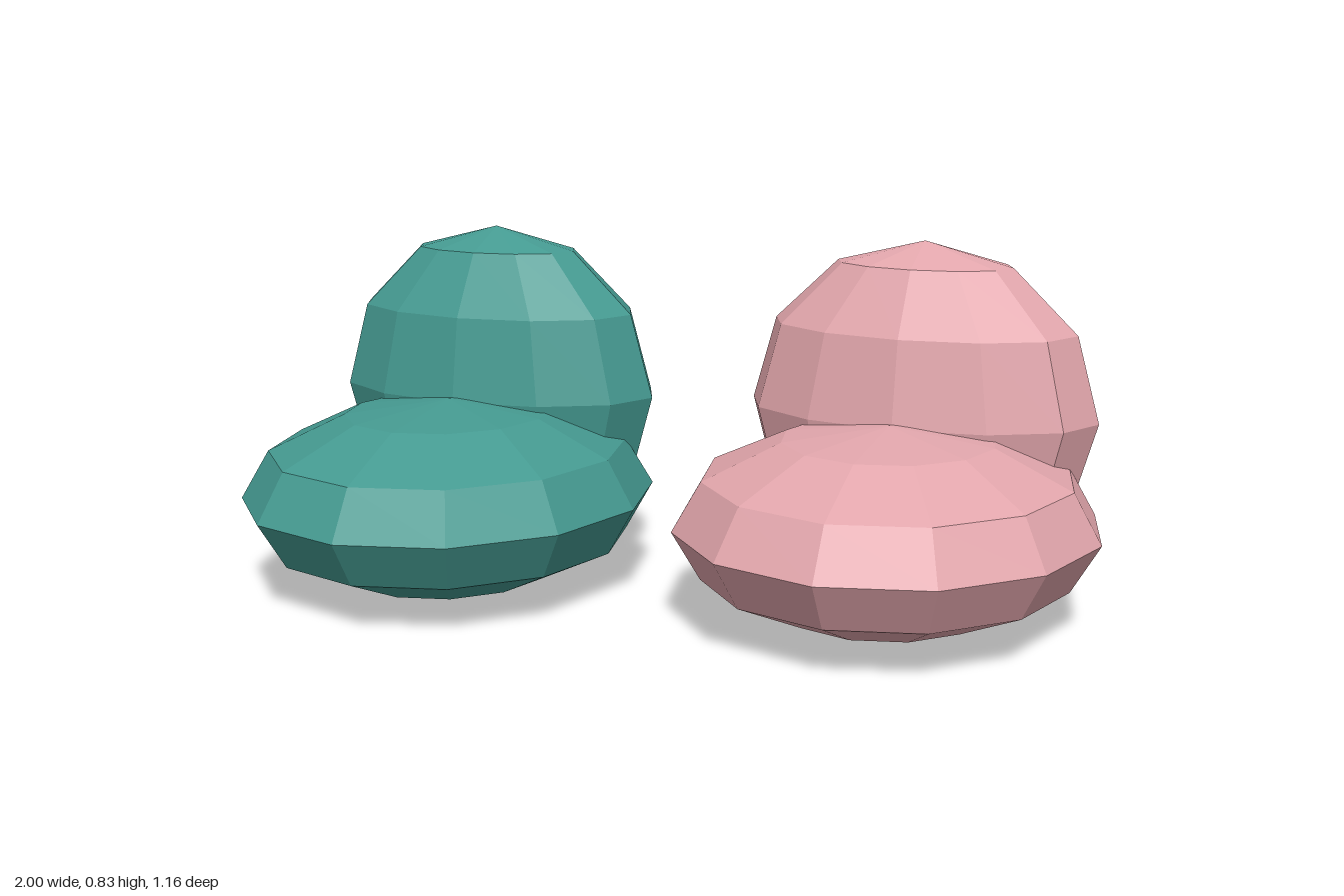
import * as THREE from 'three';

// Faceted ellipsoid given by its centre and radii
function pebble(name, material, center, radii) {
  const geometry = new THREE.SphereGeometry(1, 12, 6);
  geometry.scale(...radii);
  const mesh = new THREE.Mesh(geometry, material);
  mesh.name = name;
  mesh.position.set(...center);
  return mesh;
}

// Soft armchair: a flat cushion with an upright backrest sunk into its rear
function armchair(name, color, x, z) {
  const material = new THREE.MeshStandardMaterial({ color, flatShading: true });
  const chair = new THREE.Group();
  chair.name = name;
  chair.add(
    pebble('seat', material, [0, 0.226, 0], [0.478, 0.223, 0.519]),
    pebble('backrest', material, [0, 0.435, -0.257], [0.414, 0.396, 0.239]),
  );
  chair.position.set(x, 0, z);
  return chair;
}

export function createModel() {
  const model = new THREE.Group();
  model.name = 'armchairPair';
  model.add(
    armchair('rightChair', 0x459a91, -0.522, 0.06),
    armchair('leftChair', 0xe2a6ac, 0.522, -0.06),
  );
  return model;
}
